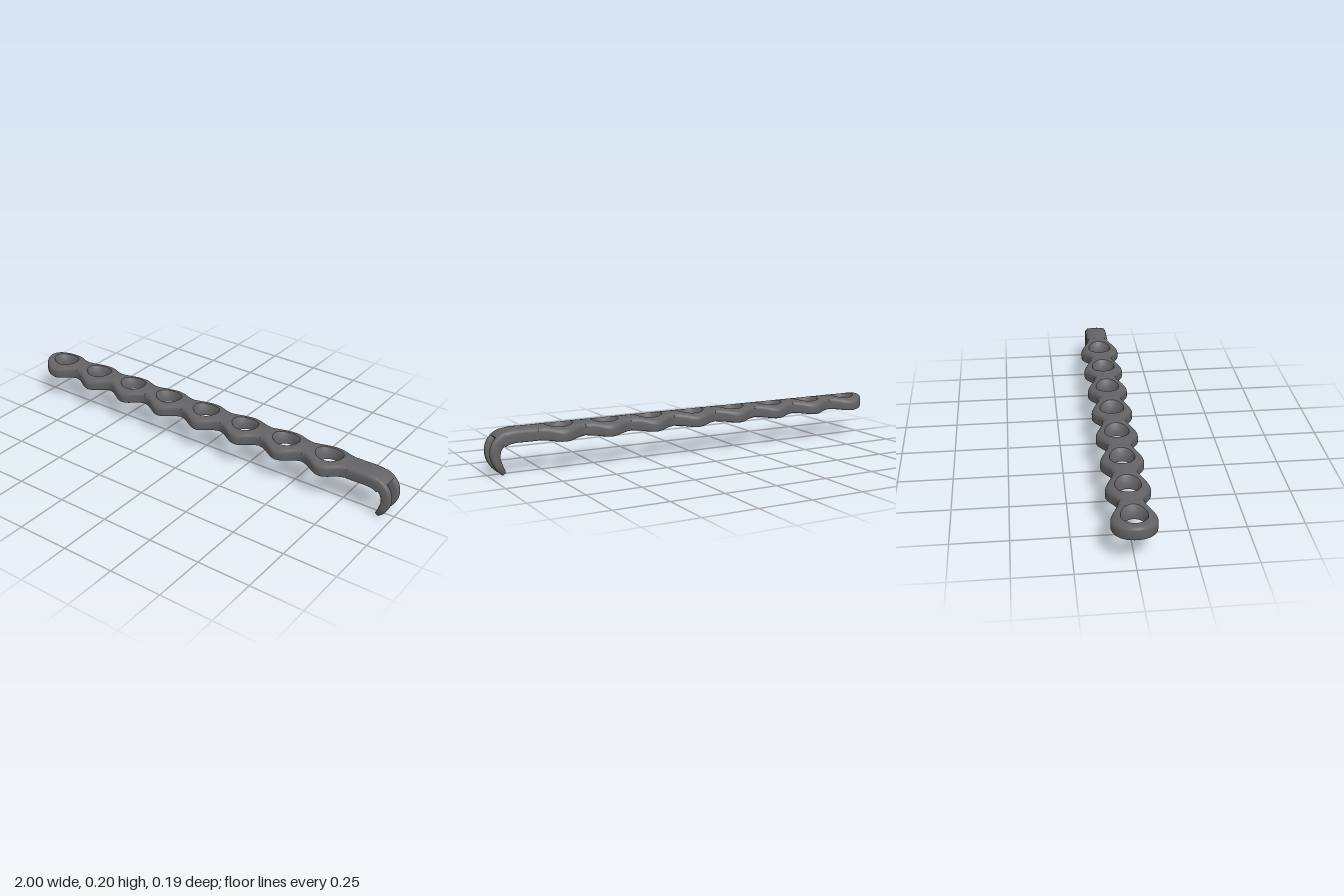
import * as THREE from 'three';
import { mergeGeometries, toCreasedNormals } from 'three/addons/utils/BufferGeometryUtils.js';

const HOLES = 8, FIRST = -0.895, STEP = 0.223, H = STEP / 2;
const LOBE = 0.096, WAIST = 0.055, MID = 0.1755;

// half width of the scalloped bar, measured from a hole centre
const width = dx => (LOBE + WAIST) / 2 + (LOBE - WAIST) / 2 * Math.cos(dx / STEP * Math.PI * 2);

// arched top and bottom faces with rounded edges; d is the distance to the edge
const round = (d, r) => d >= r ? 0 : r - Math.sqrt(Math.max(0, r * r - (r - Math.max(d, 0)) ** 2));
const topY = (z, d) => 0.205 - 2.4 * z * z - round(d, 0.016);
const bottomY = (z, d) => 0.146 - 1.4 * z * z + round(d, 0.009);

// surface from columns of points
function grid(columns, skip = () => false) {
  const rows = columns[0].length, index = [];
  for (let i = 0; i < columns.length - 1; i++) {
    for (let k = 0; k < rows - 1; k++) {
      if (skip(i, k)) continue;
      const a = i * rows + k, b = a + rows;
      index.push(a, b, a + 1, b, b + 1, a + 1);
    }
  }
  const geo = new THREE.BufferGeometry();
  geo.setAttribute('position', new THREE.Float32BufferAttribute(columns.flat(2), 3));
  geo.setIndex(index);
  return geo;
}

// enlarged while smoothing, because the smoothing joins points closer than 0.01
function smooth(geo) {
  return toCreasedNormals(geo.scale(100, 100, 100), 0.9).scale(0.01, 0.01, 0.01);
}

// one plate segment around a countersunk hole
function segment(cx, isEnd) {
  const outer = [];
  const add = (x, z, open) => outer.push({ x, z, open });
  const M = 10, N = 28;
  for (let i = 0; i < M; i++) add(H, WAIST * (2 * i / M - 1), true);
  if (isEnd) {
    for (let i = 0; i < N / 2; i++) add(H - H * i / (N / 2), width(H - H * i / (N / 2)), false);
    for (let i = 0; i < N; i++) {
      const a = Math.PI * (0.5 + i / N);
      add(0.105 * Math.cos(a), LOBE * Math.sin(a), false);
    }
    for (let i = 0; i < N / 2; i++) add(H * i / (N / 2), -width(H * i / (N / 2)), false);
  } else {
    for (let i = 0; i < N; i++) add(H - STEP * i / N, width(H - STEP * i / N), false);
    for (let i = 0; i < M; i++) add(-H, WAIST * (1 - 2 * i / M), true);
    for (let i = 0; i < N; i++) add(-H + STEP * i / N, -width(-H + STEP * i / N), false);
  }
  outer.push(outer[0]);

  const edge = (x, z) => isEnd && x < 0
    ? LOBE * (1 - Math.hypot(x / 0.105, z / LOBE)) : width(x) - Math.abs(z);
  const S = [0, 0.15, 0.3, 0.45, 0.6, 0.72, 0.82, 0.9, 0.95, 0.98, 1];
  const mix = THREE.MathUtils.lerp;

  const columns = outer.map(o => {
    const a = Math.atan2(o.z, o.x), c = Math.cos(a), s = Math.sin(a);
    const hx = 0.045 * c, hz = 0.047 * s, rx = 0.066 * c, rz = 0.056 * s;
    const rim = topY(rz, 1);
    const col = [
      [cx + hx, bottomY(hz, 1), hz],
      [cx + hx, 0.166, hz],
      [cx + mix(hx, rx, 0.45), mix(0.166, rim, 0.5), mix(hz, rz, 0.45)],
      [cx + mix(hx, rx, 0.85), rim - 0.004, mix(hz, rz, 0.85)],
    ];
    for (const t of S) {
      const x = mix(rx, o.x, t), z = mix(rz, o.z, t);
      col.push([cx + x, topY(z, edge(x, z)), z]);
    }
    for (const t of [...S].reverse()) {
      const x = mix(hx, o.x, t), z = mix(hz, o.z, t);
      col.push([cx + x, bottomY(z, edge(x, z)), z]);
    }
    return col;
  });
  // no side wall where two segments meet
  return grid(columns, (i, k) => k === 3 + S.length && outer[i].open);
}

// centre line of the neck and hook
const path = new THREE.CatmullRomCurve3([
  [0.7775, MID], [0.83, MID], [0.885, MID], [0.931, 0.165], [0.963, 0.134],
  [0.972, 0.09], [0.958, 0.046], [0.933, 0.009],
].map(([x, y]) => new THREE.Vector3(x, y, 0)));

// sweep rings of [offset, z] along part of the path and close the far end
function sweep(from, to, steps, ring) {
  const columns = [];
  for (let i = 0; i <= steps; i++) {
    const u = from + (to - from) * i / steps;
    const p = path.getPointAt(u), t = path.getTangentAt(u);
    columns.push(ring(u).map(([n, z]) => [p.x - t.y * n, p.y + t.x * n, z]));
  }
  const last = columns[steps], n = last.length - 1;
  const centre = [0, 1, 2].map(k => last.slice(0, n).reduce((sum, p) => sum + p[k], 0) / n);
  columns.push(last.map(() => centre));
  return grid(columns);
}

function neckRing() {
  const pts = [];
  for (let i = 0; i <= 48; i++) {
    const a = i / 48 * Math.PI * 2, z = WAIST * Math.cos(a), d = WAIST - Math.abs(z);
    pts.push([(i <= 24 ? topY(z, d) : bottomY(z, d)) - MID, z]);
  }
  pts.splice(25, 0, [bottomY(-WAIST, 0) - MID, -WAIST]);
  pts.push([topY(WAIST, 0) - MID, WAIST]);
  return pts;
}

function prongRing(side) {
  return u => {
    const taper = THREE.MathUtils.smoothstep(u, 0.5, 1);
    const tip = THREE.MathUtils.clamp((u - 0.8) / 0.2, 0, 1) ** 2;
    const thick = 0.0265 - 0.009 * taper - 0.007 * tip;
    const half = 0.0163 - 0.009 * tip, zc = side * (0.0385 - 0.0075 * tip);
    const pts = [];
    for (let i = 0; i <= 28; i++) {
      const a = i / 28 * Math.PI * 2, c = Math.cos(a), s = Math.sin(a);
      pts.push([thick * Math.sign(s) * Math.abs(s) ** 0.7, zc + half * Math.sign(c) * Math.abs(c) ** 0.7]);
    }
    return pts;
  };
}

export function createModel() {
  const group = new THREE.Group();
  group.name = 'hookPlate';
  const metal = new THREE.MeshStandardMaterial({ color: 0x646466 });
  metal.name = 'dark grey metal';
  const add = (name, geo) => {
    const mesh = new THREE.Mesh(smooth(geo), metal);
    mesh.name = name;
    group.add(mesh);
  };

  // scalloped bar with holes
  const segments = [];
  for (let i = 0; i < HOLES; i++) segments.push(segment(FIRST + i * STEP, i === 0));
  add('perforatedBar', mergeGeometries(segments));

  // solid neck bending into the hook
  add('neck', sweep(0, 0.52, 24, neckRing));

  // two curved prongs
  add('leftProng', sweep(0.42, 1, 32, prongRing(1)));
  add('rightProng', sweep(0.42, 1, 32, prongRing(-1)));
  return group;
}
